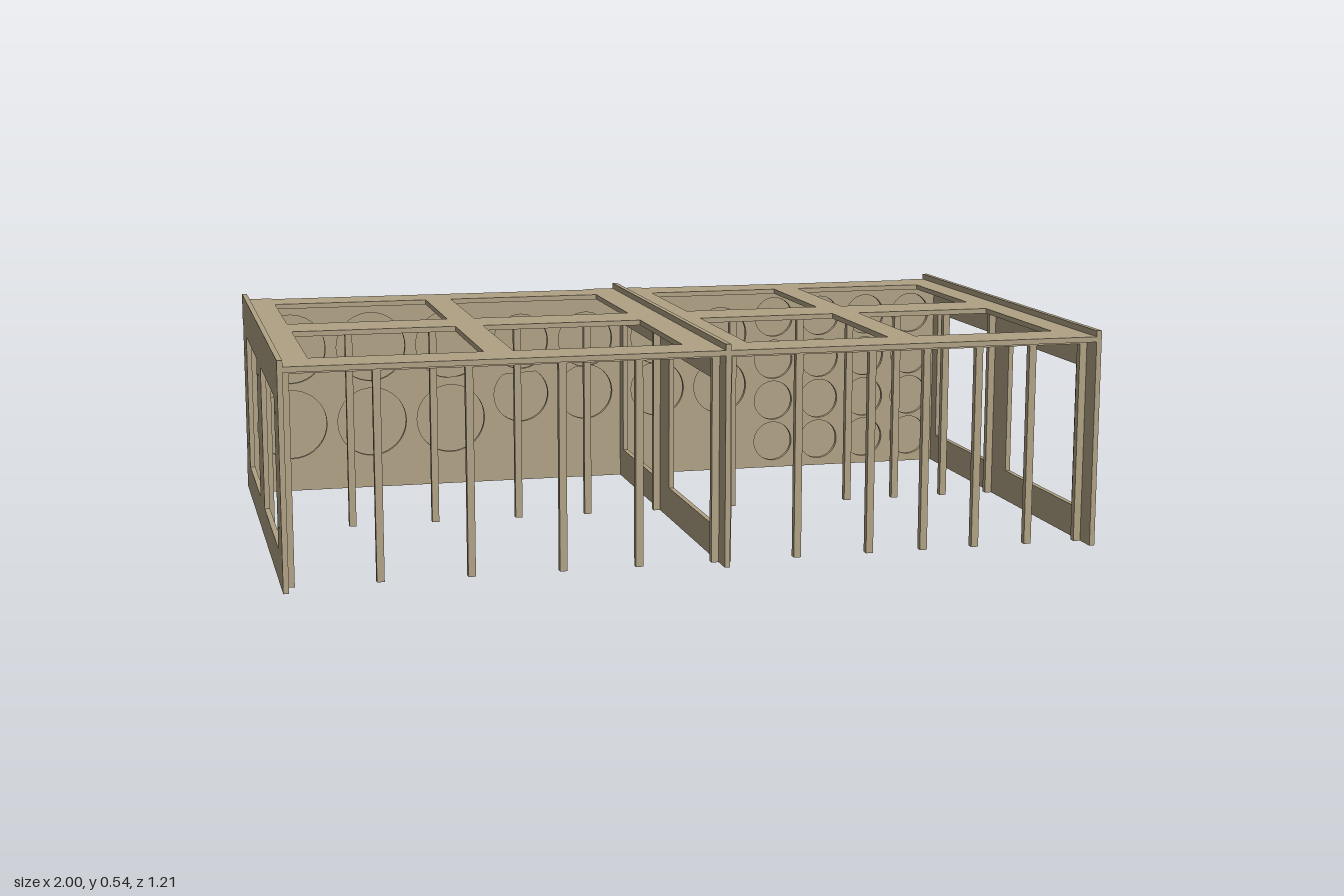
import * as THREE from 'three';

const wood = new THREE.MeshStandardMaterial({ color: 0xb0a184 });
wood.name = 'plywood';

const T = 0.013; // sheet thickness

// Closed path from corner points
function trace(target, pts) {
  pts.forEach(([x, y], i) => (i ? target.lineTo(x, y) : target.moveTo(x, y)));
  target.closePath();
  return target;
}

const rect = (x0, y0, x1, y1) => trace(new THREE.Path(), [[x0, y0], [x0, y1], [x1, y1], [x1, y0]]);

function disc(x, y, r) {
  const p = new THREE.Path();
  p.absarc(x, y, r, 0, Math.PI * 2, true);
  return p;
}

// Sheet cut from an outline with holes, extruded along +z
function sheet(outline, holes, depth) {
  const shape = trace(new THREE.Shape(), outline);
  shape.holes.push(...holes);
  return new THREE.ExtrudeGeometry(shape, { depth, bevelEnabled: false, curveSegments: 20 });
}

export function createModel() {
  const model = new THREE.Group();

  const add = (name, geometry, x = 0, y = 0, z = 0) => {
    const mesh = new THREE.Mesh(geometry, wood);
    mesh.name = name;
    mesh.position.set(x, y, z);
    model.add(mesh);
    return mesh;
  };
  const bar = (name, x0, x1, y0, y1, z0, z1) =>
    add(name, new THREE.BoxGeometry(x1 - x0, y1 - y0, z1 - z0), (x0 + x1) / 2, (y0 + y1) / 2, (z0 + z1) / 2);

  // Upright frames: two windows, screw holes and a notched rear edge (drawn in z, y)
  const screwHoles = [];
  for (const z of [0.525, -0.05, -0.515])
    for (const y of [0.135, 0.405]) screwHoles.push(disc(z, y, 0.005));
  const upright = sheet(
    [[0.605, 0], [0.605, 0.54], [-0.605, 0.54], [-0.605, 0.47], [-0.59, 0.47], [-0.59, 0.07], [-0.605, 0.07], [-0.605, 0]],
    [rect(0.06, 0.08, 0.49, 0.44), rect(-0.47, 0.08, -0.085, 0.44), ...screwHoles], T);
  upright.rotateY(-Math.PI / 2); // shape x becomes z, depth runs to -x
  add('rightUpright', upright, -1 + T);
  add('middleUpright', upright, 0.059);
  add('leftUpright', upright, 1);

  const bays = [
    {
      name: 'rightBay', x0: -1 + T, x1: 0.059 - T,
      windows: [[-0.92, -0.51], [-0.44, -0.03]],
      posts: [-0.77, -0.555, -0.335, -0.15],
      circles: [
        { r: 0.095, xs: [-0.88, -0.66, -0.44], ys: [0.395, 0.185] },
        { r: 0.077, xs: [-0.24, -0.055], ys: [0.395, 0.245] },
      ],
    },
    {
      name: 'leftBay', x0: 0.059, x1: 1 - T,
      windows: [[0.13, 0.49], [0.56, 0.92]],
      posts: [0.245, 0.43, 0.57, 0.705, 0.845],
      circles: [
        { r: 0.077, xs: [0.155, 0.34], ys: [0.395, 0.245] },
        { r: 0.056, xs: [0.5, 0.638, 0.776, 0.914], ys: [0.44, 0.317, 0.197, 0.077] },
      ],
    },
  ];

  for (const { name, x0, x1, windows, posts, circles } of bays) {
    // Top sheet with four windows and a notched rear edge (drawn in x, -z)
    const n0 = windows[0][0], n1 = windows[1][1];
    const holes = windows.flatMap(([a, b]) => [rect(a, 0.085, b, 0.475), rect(a, -0.485, b, -0.055)]);
    const top = sheet(
      [[x0, -0.605], [x1, -0.605], [x1, 0.605], [n1, 0.605], [n1, 0.59], [n0, 0.59], [n0, 0.605], [x0, 0.605]],
      holes, T);
    top.rotateX(-Math.PI / 2);
    add(name + 'Top', top, 0, 0.525 - T, 0);

    // Rear sheet with round openings, and a solid sheet behind it
    const rounds = circles.flatMap(({ r, xs, ys }) => xs.flatMap((x) => ys.map((y) => disc(x, y, r))));
    add(name + 'RoundHoleSheet', sheet([[x0, 0], [x1, 0], [x1, 0.512], [x0, 0.512]], rounds, T), 0, 0, -0.522);
    bar(name + 'BackSheet', x0, x1, 0, 0.512, -0.56, -0.548);

    // Rear ledges
    for (const y of [0.02, 0.275]) bar(name + 'RearLedge', x0, x1, y - T / 2, y + T / 2, -0.605, -0.56);

    // Battens under the top, with a row of dividing posts at each
    for (const z of [0.54, -0.045]) {
      bar(name + 'Batten', x0, x1, 0.5, 0.512, z - 0.009, z + 0.009);
      for (const x of [x0 + 0.009, ...posts, x1 - 0.009])
        bar(name + 'Post', x - 0.009, x + 0.009, 0, 0.5, z - 0.009, z + 0.009);
    }
  }

  return model;
}
